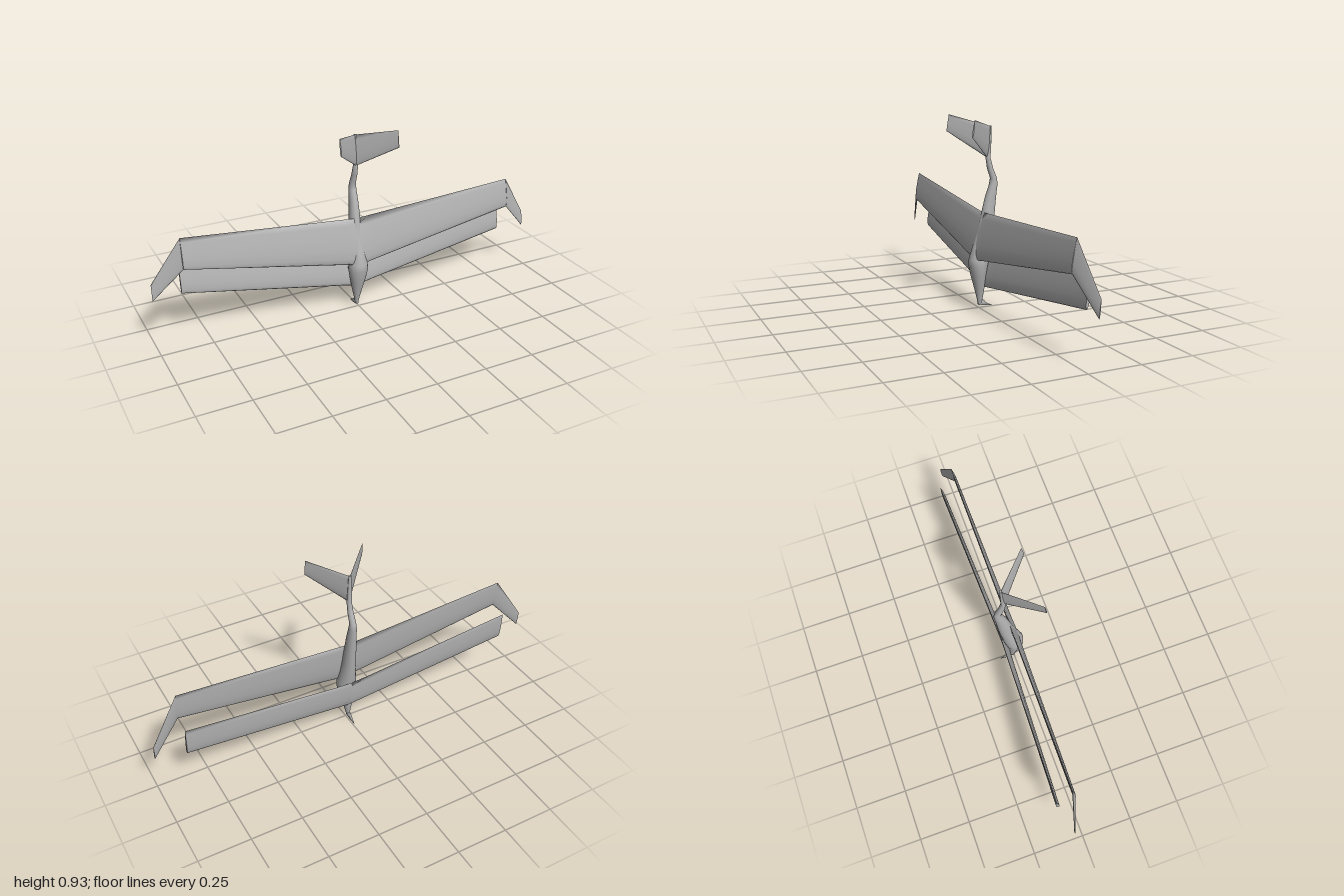
import * as THREE from 'three';

// Skin a list of equal-length rings, with flat end caps, wound outwards.
function loft(rings, closedEnds = true) {
  const n = rings[0].length;
  const pos = [], idx = [];
  const tri = (a, b, c) => idx.push(a, b, c);
  rings.forEach(r => r.forEach(p => pos.push(p.x, p.y, p.z)));
  for (let i = 0; i < rings.length - 1; i++) {
    for (let j = 0; j < n; j++) {
      const a = i * n + j, b = i * n + (j + 1) % n;
      tri(a, b, a + n);
      tri(b, b + n, a + n);
    }
  }
  if (closedEnds) {
    [rings[0], rings[rings.length - 1]].forEach((ring, end) => {
      const base = pos.length / 3;
      ring.forEach(p => pos.push(p.x, p.y, p.z));
      for (let j = 1; j < n - 1; j++) {
        if (end) tri(base, base + j, base + j + 1);
        else tri(base, base + j + 1, base + j);
      }
    });
  }
  // Signed volume tells whether the winding must be reversed.
  const v = i => new THREE.Vector3().fromArray(pos, i * 3);
  let volume = 0;
  for (let i = 0; i < idx.length; i += 3) volume += v(idx[i]).dot(v(idx[i + 1]).cross(v(idx[i + 2])));
  if (volume < 0) idx.reverse();
  const g = new THREE.BufferGeometry();
  g.setAttribute('position', new THREE.Float32BufferAttribute(pos, 3));
  g.setIndex(idx);
  g.computeVertexNormals();
  return g;
}

// Aerofoil outline as [chord fraction, half thickness factor].
const FOIL = [[0, 0], [0.03, 0.4], [0.12, 0.8], [0.32, 1], [0.6, 0.75], [0.85, 0.32], [1, 0.04],
  [0.85, -0.32], [0.6, -0.75], [0.32, -1], [0.12, -0.8], [0.03, -0.4]];

// Each section is [leading edge, trailing edge, thickness].
function blade(sections) {
  const s = sections.map(([a, b, t]) => [new THREE.Vector3(...a), new THREE.Vector3(...b), t]);
  const span = s[s.length - 1][0].clone().sub(s[0][0]);
  return loft(s.map(([a, b, t]) => {
    const normal = b.clone().sub(a).cross(span).normalize();
    return FOIL.map(([c, h]) => a.clone().lerp(b, c).addScaledVector(normal, h * t / 2));
  }));
}

// Each section is [y, centre z, half width, half depth].
function ellipseRing([y, z, rx, rz], n = 24) {
  return Array.from({ length: n }, (_, i) => {
    const a = i / n * Math.PI * 2;
    return new THREE.Vector3(-0.008 + 0.02 * y + rx * Math.cos(a), y, z + rz * Math.sin(a));
  });
}

export function createModel() {
  const model = new THREE.Group();
  const grey = new THREE.MeshStandardMaterial({ color: 0xb2b2b2, side: THREE.DoubleSide });
  grey.name = 'plain grey';
  const add = (name, geometry) => {
    const mesh = new THREE.Mesh(geometry, grey);
    mesh.name = name;
    model.add(mesh);
  };

  // Pointed fuselage that thins into a kinked tail boom
  add('fuselage', loft([
    [0.012, -0.007, 0.006, 0.008],
    [0.04, -0.008, 0.012, 0.014],
    [0.1, -0.005, 0.026, 0.026],
    [0.16, 0.001, 0.04, 0.037],
    [0.21, 0.002, 0.049, 0.046],
    [0.24, -0.002, 0.047, 0.05],
    [0.3, -0.015, 0.038, 0.046],
    [0.38, -0.033, 0.031, 0.039],
    [0.46, -0.047, 0.027, 0.034],
    [0.54, -0.06, 0.022, 0.028],
    [0.6, -0.074, 0.019, 0.021],
    [0.63, -0.075, 0.016, 0.017],
    [0.68, -0.056, 0.014, 0.015],
    [0.73, -0.045, 0.012, 0.012],
    [0.8, -0.052, 0.01, 0.008],
    [0.88, -0.056, 0.007, 0.005],
  ].map(s => ellipseRing(s))));

  // Small hooked skid swept back under the nose
  add('noseHook', loft([[0, 0.014, 0.03, 0.007], [-0.03, 0.008, 0.032, 0.006],
    [-0.045, 0.005, 0.016, 0.005], [-0.074, 0, 0.002, 0.001]].map(([z, low, high, w]) => [
    new THREE.Vector3(-0.008 - w, low, z), new THREE.Vector3(-0.008 + w, low, z),
    new THREE.Vector3(-0.008 + w, high, z), new THREE.Vector3(-0.008 - w, high, z)])));

  // Wings and tail fins; the whole craft is banked slightly, so +x sits lower
  for (const side of [1, -1]) {
    const label = side > 0 ? 'left' : 'right';
    const dy = side > 0 ? -0.035 : 0;
    const dz = side > 0 ? 0.01 : 0;
    const at = (x, y, z) => [side * x, y + dy * x / 0.86, z + dz * x / 0.86];

    const frontEnd = [at(0.86, 0.4, -0.014), at(0.86, 0.547, -0.033), 0.014];
    add(label + 'FrontWing', blade([
      [at(0, 0.235, 0.022), at(0, 0.468, -0.022), 0.03],
      [at(0.06, 0.25, 0.018), at(0.06, 0.474, -0.022), 0.025],
      frontEnd,
    ]));
    add(label + 'FrontWingTip', blade([
      frontEnd,
      [at(1, 0.254, -0.056), at(1, 0.333, -0.064), 0.006],
    ]));

    add(label + 'RearWing', blade([
      [at(0, 0.1, -0.03), at(0, 0.262, -0.062), 0.026],
      [at(0.08, 0.114, -0.036), at(0.08, 0.272, -0.066), 0.022],
      [at(0.86, 0.245, -0.085), at(0.86, 0.393, -0.102), 0.016],
    ]));

    // V-tail reaching forward from the boom
    const tipX = side > 0 ? 0.155 : -0.14;
    const drop = side > 0 ? -0.006 : 0;
    add(label + 'TailFin', blade([
      [[0.006, 0.73, -0.04], [0.009, 0.878, -0.056], 0.014],
      [[tipX, 0.848 + drop, 0.104], [tipX, 0.928 + drop, 0.092], 0.007],
    ]));
  }
  return model;
}
